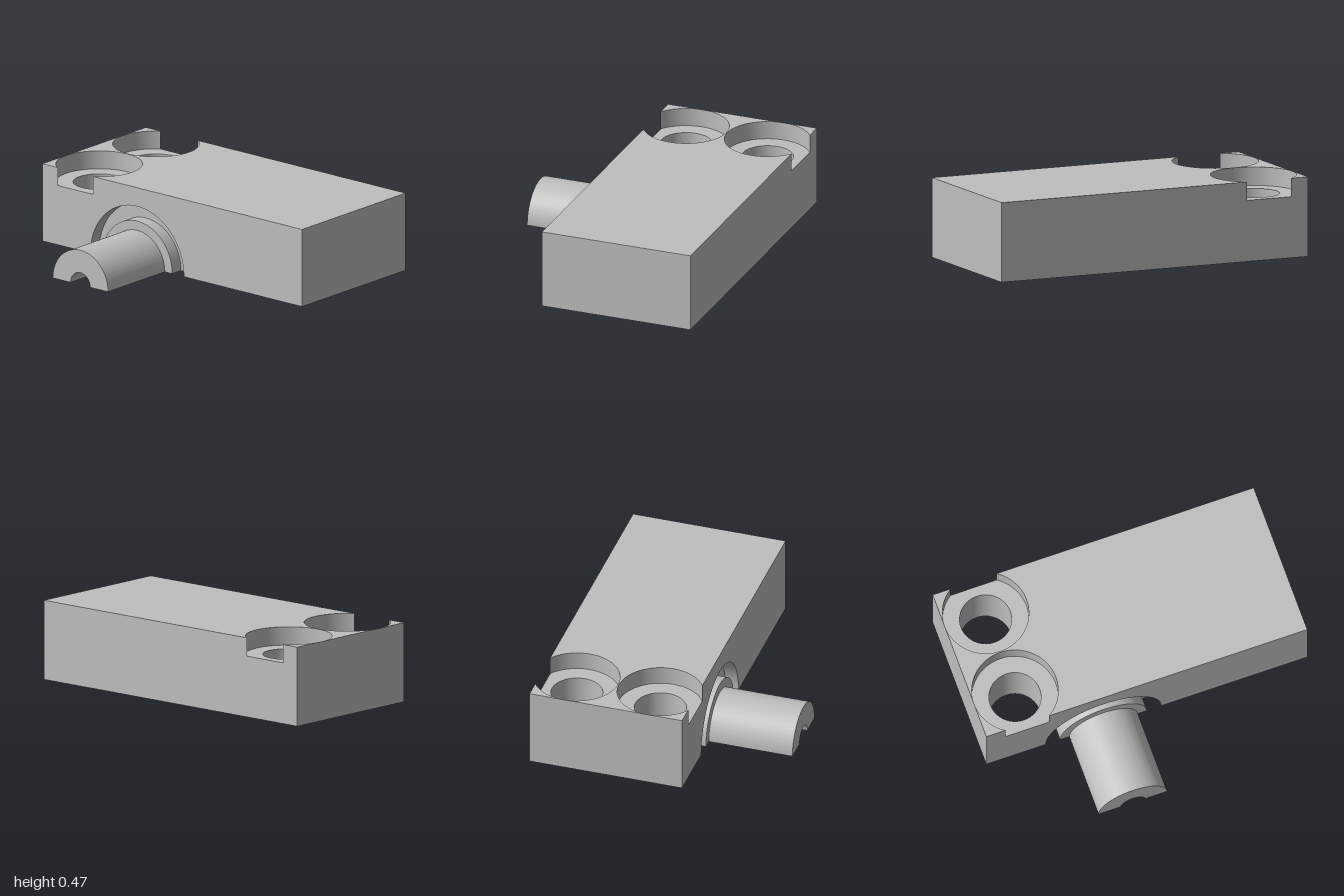
import * as THREE from 'three';
import { toCreasedNormals } from 'three/addons/utils/BufferGeometryUtils.js';

const LEFT = -0.215, RIGHT = 0.725, TOP = 0.475;
const SEAT = 0.365;          // height of the counterbore floor
const SLOT = 0.075;          // depth of the keyhole in the underside
const WALL = -0.135;         // back wall of the arched recess
const HOLE_X = [0, 0.515], HOLE_S = 0.745;
const PIPE_S = 0.27;         // s = -z in all shapes

function extrude(shape, depth) {
  return new THREE.ExtrudeGeometry(shape, { depth, bevelEnabled: false, curveSegments: 40 });
}

function polygon(points) {
  return new THREE.Shape(points.map(([a, b]) => new THREE.Vector2(a, b)));
}

export function createModel() {
  const group = new THREE.Group();
  const metal = new THREE.MeshStandardMaterial({ color: 0xbfbfbf });
  metal.name = 'plain grey';

  function add(name, geometry) {
    const mesh = new THREE.Mesh(toCreasedNormals(geometry, 0.5), metal);
    mesh.name = name;
    group.add(mesh);
  }
  // Plan outline (x, s) raised from y0 to y1
  const layer = (name, shape, y0, y1) =>
    add(name, extrude(shape, y1 - y0).rotateX(-Math.PI / 2).translate(0, y0, 0));
  // Side profile (s, y) swept along x
  const sweep = (name, shape, x0, x1) =>
    add(name, extrude(shape, x1 - x0).rotateY(Math.PI / 2).translate(x0, 0, 0));

  // Lower block outline with both bolt holes and a bay for the recess
  function lowerOutline() {
    const shape = polygon([
      [LEFT, -1], [RIGHT, -1], [RIGHT, 1], [LEFT, 1],
      [LEFT, 0.63], [WALL, 0.63], [WALL, -0.09], [LEFT, -0.09],
    ]);
    for (const x of HOLE_X) {
      shape.holes.push(new THREE.Path().absarc(x, HOLE_S, 0.153, 0, Math.PI * 2, true));
    }
    return shape;
  }

  // Underside layer with the keyhole slot
  const base = lowerOutline();
  const k = Math.asin(0.05 / 0.13);
  const keyhole = new THREE.Path();
  keyhole.absarc(0.257, -0.43, 0.13, Math.PI / 2 - k, Math.PI / 2 + k, true);
  keyhole.lineTo(0.207, 0.344);
  keyhole.lineTo(0.307, 0.344);
  keyhole.closePath();
  base.holes.push(keyhole);
  layer('blockBase', base, 0, SLOT);
  layer('blockMiddle', lowerOutline(), SLOT, SEAT);

  // Top layer, with counterbores that break through the long sides
  const R = 0.254;
  const a = Math.acos((RIGHT - HOLE_X[1]) / R), b = Math.acos(-LEFT / R);
  const top = new THREE.Shape();
  top.moveTo(LEFT, -1);
  top.lineTo(RIGHT, -1);
  top.absarc(HOLE_X[1], HOLE_S, R, -a, a, true);
  top.lineTo(RIGHT, 1);
  top.lineTo(LEFT, 1);
  top.absarc(HOLE_X[0], HOLE_S, R, Math.PI - b, Math.PI + b, true);
  top.closePath();
  layer('blockTop', top, SEAT, TOP);

  // Arched surround of the recess
  const arch = new THREE.Shape();
  arch.moveTo(-0.09, 0);
  arch.lineTo(-0.09, SEAT);
  arch.lineTo(0.63, SEAT);
  arch.lineTo(0.63, 0);
  arch.absarc(PIPE_S, 0, 0.36, 0, Math.PI, false);
  sweep('recessArch', arch, LEFT, WALL);

  // Half pipe and its collar
  function halfRing(outer) {
    const ring = new THREE.Shape();
    ring.absarc(PIPE_S, 0, outer, 0, Math.PI, false);
    ring.absarc(PIPE_S, 0, 0.075, Math.PI, 0, true);
    ring.closePath();
    return ring;
  }
  sweep('halfPipe', halfRing(0.213), -0.73, LEFT);
  sweep('pipeCollar', halfRing(0.27), LEFT, WALL);

  return group;
}
